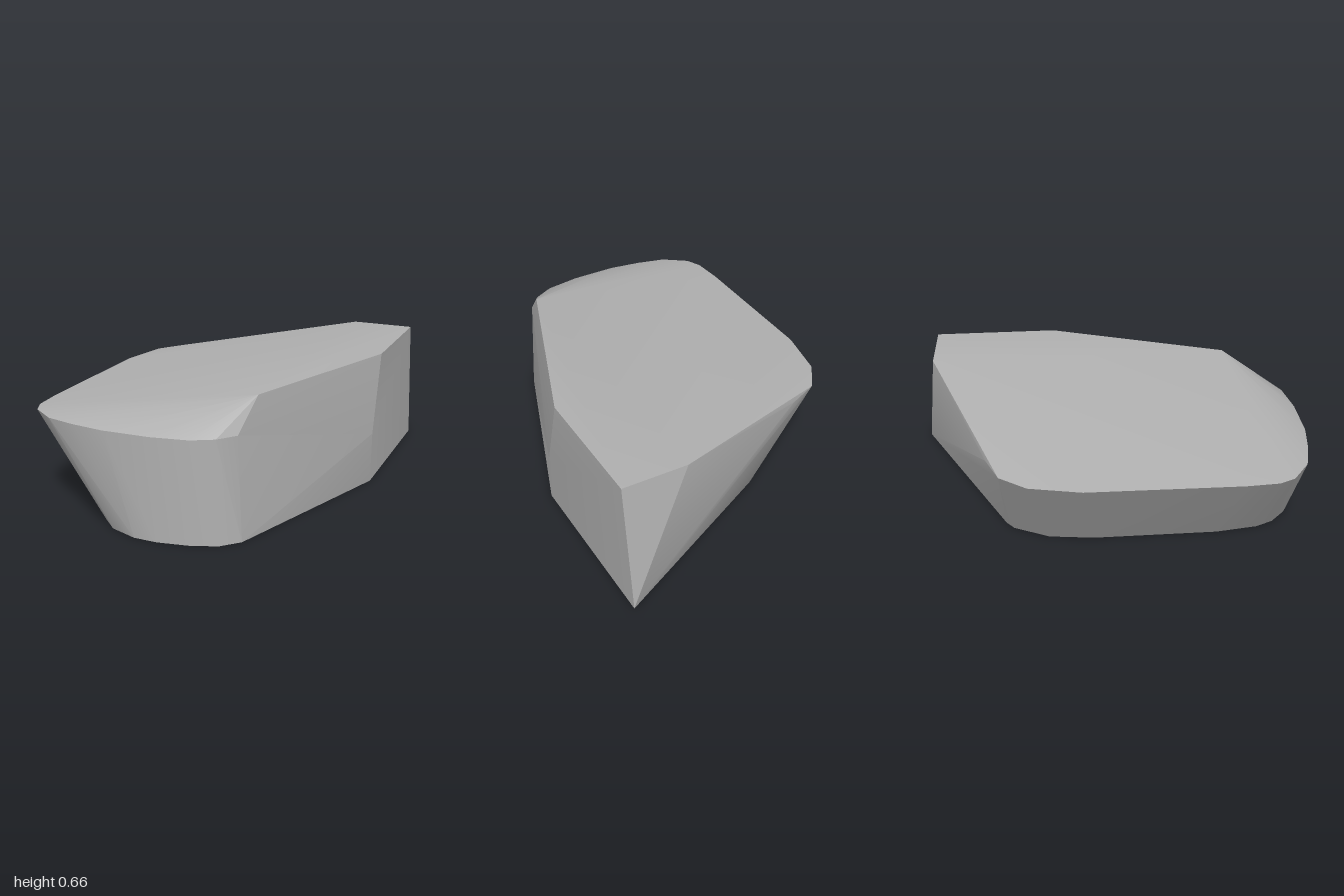
import * as THREE from 'three';
import { ConvexGeometry } from 'three/addons/geometries/ConvexGeometry.js';
import { toCreasedNormals } from 'three/addons/utils/BufferGeometryUtils.js';

// Turns an outline of [x, z] pairs into points at one height
const ring = (y, outline) => outline.map(([x, z]) => new THREE.Vector3(x, y, z));

export function createModel() {
  const group = new THREE.Group();
  const stone = new THREE.MeshStandardMaterial({ color: 0xb0b0b0 });
  stone.name = 'stone grey';

  // Flat base
  const base = ring(0, [
    [0.72, -1], [0.72, -0.12], [0.38, 0.84], [0.30, 0.92], [0.18, 0.965],
    [0.02, 0.99], [-0.10, 0.985], [-0.24, 0.93], [-0.32, 0.85], [-0.36, 0.76],
    [-0.39, 0.54], [-0.39, -0.10], [-0.36, -0.33], [-0.27, -0.51], [-0.22, -0.55],
  ]);

  // Slight bend in the side wall
  const bend = ring(0.26, [[0.72, -0.13]]);

  // Overhanging rounded rim
  const rim = ring(0.51, [
    [-0.40, -0.63], [-0.56, -0.565], [-0.66, -0.43], [-0.715, -0.17], [-0.725, 0.6],
    [-0.715, 0.76], [-0.68, 0.84], [-0.56, 0.93], [-0.41, 0.97], [-0.24, 0.997],
    [0, 0.997], [0.18, 0.97], [0.285, 0.915], [0.355, 0.83],
  ]);

  // High part of the top
  const crown = ring(0.66, [[0.39, 0.67], [0.72, -0.25], [0.72, -0.905], [0.39, -0.915]]);

  const hull = new ConvexGeometry([...base, ...bend, ...rim, ...crown]);
  const block = new THREE.Mesh(toCreasedNormals(hull, 0.35), stone);
  block.name = 'stoneBlock';
  group.add(block);
  return group;
}
